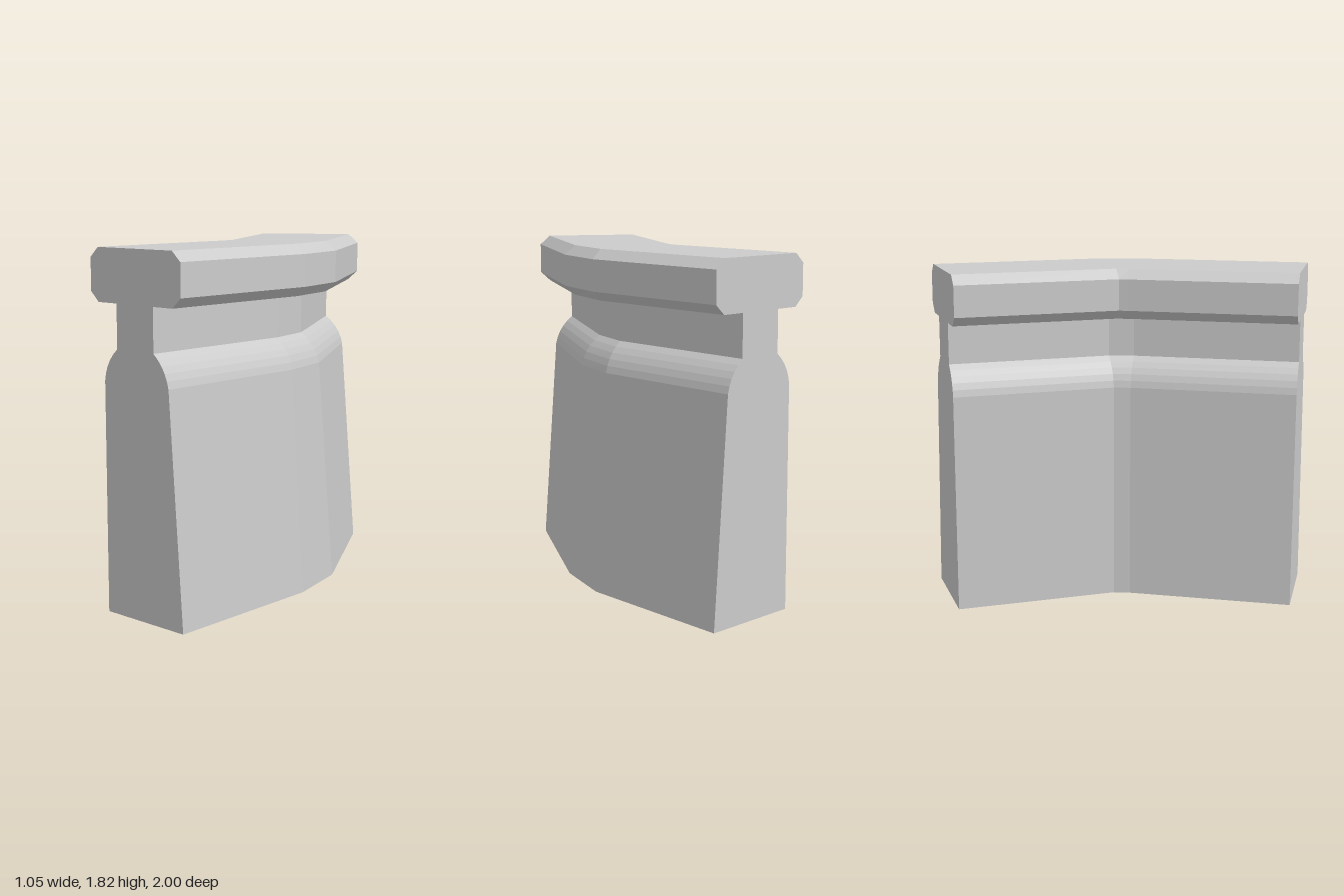
import * as THREE from 'three';

// Cross-section: battered wall, rounded shoulders, narrow neck, bevelled coping
function wallProfile() {
  const s = new THREE.Shape();
  s.moveTo(0, 0);
  s.lineTo(0.522, 0);
  s.lineTo(0.438, 1.17);
  s.quadraticCurveTo(0.42, 1.265, 0.34, 1.33);
  s.lineTo(0.34, 1.55);
  s.lineTo(0.468, 1.55);
  s.lineTo(0.522, 1.6);
  s.lineTo(0.522, 1.765);
  s.lineTo(0.468, 1.815);
  s.lineTo(-0.037, 1.815);
  s.lineTo(-0.09, 1.765);
  s.lineTo(-0.09, 1.6);
  s.lineTo(-0.037, 1.55);
  s.lineTo(0.09, 1.55);
  s.lineTo(0.09, 1.33);
  s.quadraticCurveTo(0.01, 1.265, 0, 1.17);
  s.closePath();
  return s;
}

// Stations from back to front: outer edge position and turn of the section
const OUTER = 0.522;
const BEND = Math.PI / 6;
const stations = [
  { x: 0, z: -1, turn: BEND },
  { x: 0.439, z: -0.24, turn: BEND },
  { x: OUTER, z: 0.11, turn: 0 },
  { x: OUTER, z: 1, turn: 0 },
];

export function createModel() {
  const group = new THREE.Group();
  group.name = 'bentParapetWall';

  // Straight extrusion, one step per span, then each ring moved to its station
  const spans = stations.length - 1;
  const geometry = new THREE.ExtrudeGeometry(wallProfile(), {
    depth: spans, steps: spans, bevelEnabled: false, curveSegments: 5,
  });
  const pos = geometry.attributes.position;
  for (let i = 0; i < pos.count; i++) {
    const st = stations[Math.round(pos.getZ(i))];
    const inset = pos.getX(i) - OUTER;
    pos.setX(i, st.x + inset * Math.cos(st.turn));
    pos.setZ(i, st.z - inset * Math.sin(st.turn));
  }
  geometry.computeVertexNormals();

  const wall = new THREE.Mesh(
    geometry,
    new THREE.MeshStandardMaterial({ color: 0xcccccc, flatShading: true }),
  );
  wall.name = 'wallWithCoping';
  group.add(wall);
  return group;
}
